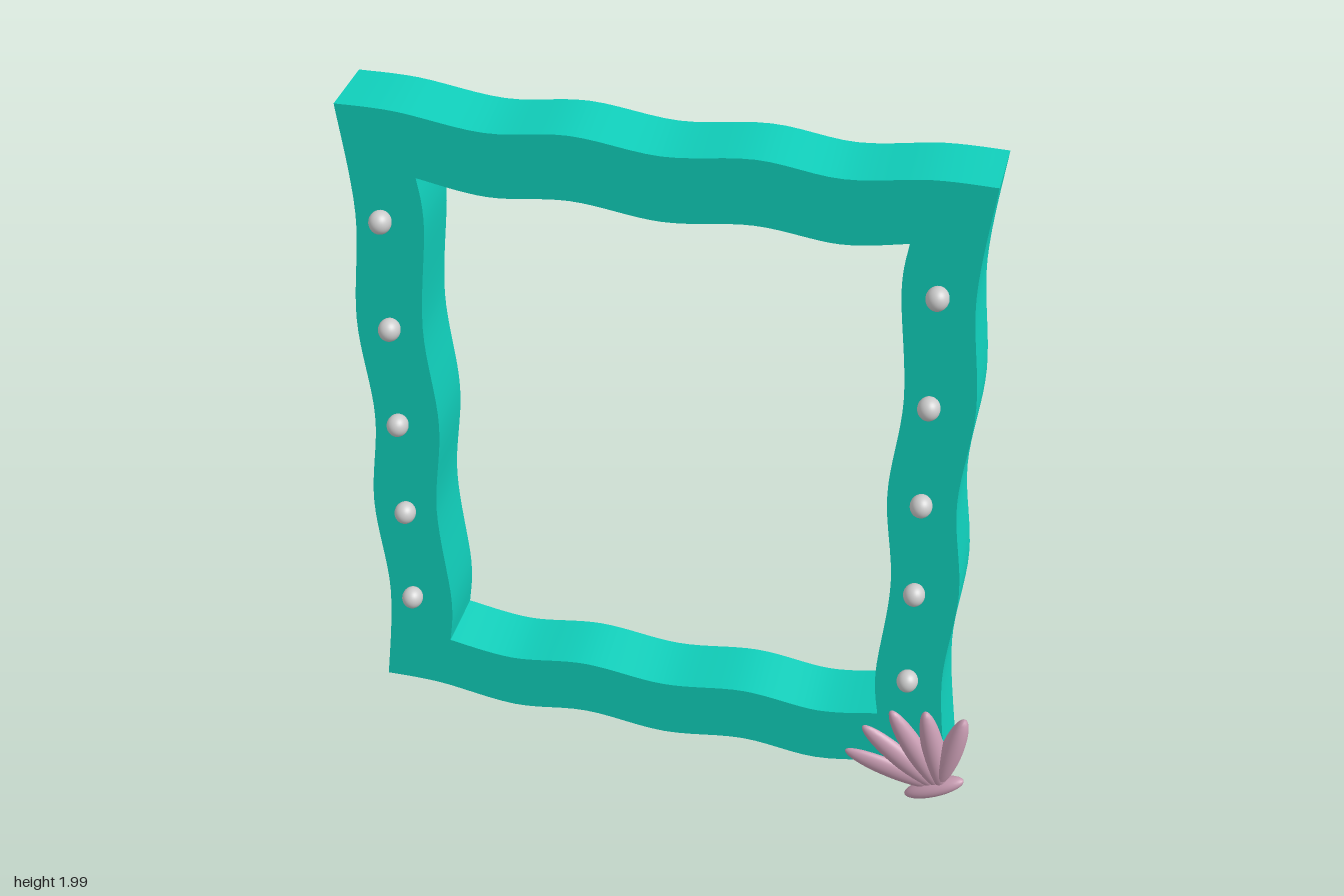
import * as THREE from 'three';
import { toCreasedNormals } from 'three/addons/utils/BufferGeometryUtils.js';

const CENTER_X = -0.03;
const mirrorX = ([x, y]) => [2 * CENTER_X - x, y];

// Smooth wavy edge through a few points, as a list of Vector2
function wave(points) {
  return new THREE.SplineCurve(points.map(([x, y]) => new THREE.Vector2(x, y))).getPoints(48);
}

// Closed outline from four edges; shared corner points are dropped
function outline(...edges) {
  return edges.flatMap((e) => wave(e).slice(0, -1));
}

function ellipsoid(name, material, radii, position, angle = 0) {
  const mesh = new THREE.Mesh(new THREE.SphereGeometry(1, 28, 20), material);
  mesh.name = name;
  mesh.scale.set(...radii);
  mesh.position.set(...position);
  mesh.rotation.z = angle;
  return mesh;
}

export function createModel() {
  const model = new THREE.Group();
  model.name = 'wavyFrame';
  const teal = new THREE.MeshStandardMaterial({ color: 0x10cfbb });
  const pink = new THREE.MeshStandardMaterial({ color: 0xc99db3 });
  const grey = new THREE.MeshStandardMaterial({ color: 0xcccccc });

  // Wavy frame: outer and inner edges, the sides mirrored
  const outerSide = [[-0.847, 2], [-0.817, 1.69], [-0.841, 1.365], [-0.815, 1.06],
    [-0.841, 0.765], [-0.817, 0.45], [-0.847, 0.127]];
  const innerSide = [[-0.648, 1.818], [-0.636, 1.68], [-0.66, 1.365], [-0.635, 1.06],
    [-0.66, 0.765], [-0.636, 0.45], [-0.648, 0.296]];
  const outerTop = [[-0.847, 2], [-0.69, 1.999], [-0.465, 1.971], [-0.25, 1.993], [-0.02, 1.969],
    [0.21, 1.993], [0.42, 1.971], [0.63, 1.999], [0.787, 2]];
  const outerBottom = [[-0.847, 0.127], [-0.69, 0.124], [-0.465, 0.09], [-0.25, 0.113], [-0.02, 0.087],
    [0.21, 0.113], [0.42, 0.09], [0.63, 0.124], [0.787, 0.127]];
  const innerTop = [[-0.648, 1.818], [-0.465, 1.791], [-0.25, 1.811], [-0.02, 1.787],
    [0.21, 1.811], [0.42, 1.791], [0.588, 1.818]];
  const innerBottom = [[-0.648, 0.296], [-0.465, 0.269], [-0.25, 0.293], [-0.02, 0.268],
    [0.21, 0.293], [0.42, 0.269], [0.588, 0.296]];
  const loop = (side, top, bottom) => outline(
    side, bottom, side.map(mirrorX).reverse(), [...top].reverse());
  const shape = new THREE.Shape(loop(outerSide, outerTop, outerBottom));
  shape.holes.push(new THREE.Path(loop(innerSide, innerTop, innerBottom)));
  const geometry = new THREE.ExtrudeGeometry(shape, { depth: 0.179, bevelEnabled: false });
  geometry.translate(0, 0, -0.117);
  const frame = new THREE.Mesh(toCreasedNormals(geometry, 0.5), teal);
  frame.name = 'frame';
  model.add(frame);

  // Pearls up both side rails
  const pearls = new THREE.Group();
  pearls.name = 'pearls';
  for (const x of [-0.742, 0.667]) {
    for (const y of [1.692, 1.367, 1.06, 0.763, 0.458]) {
      pearls.add(ellipsoid('pearl', grey, [0.029, 0.031, 0.032], [x, y, 0.088]));
    }
  }
  model.add(pearls);

  // Fan shell on the lower left corner: ribs from tip to root, then the hinge
  const shell = new THREE.Group();
  shell.name = 'shell';
  const ribs = [
    // tip x, tip y, root x, root y, half width, half depth
    [0.505, 0.14, 0.77, 0.06, 0.031, 0.02],
    [0.55, 0.243, 0.775, 0.055, 0.032, 0.024],
    [0.625, 0.317, 0.78, 0.055, 0.032, 0.028],
    [0.72, 0.335, 0.785, 0.055, 0.032, 0.031],
    [0.83, 0.328, 0.77, 0.07, 0.031, 0.033],
  ];
  for (const [tx, ty, rx, ry, width, depth] of ribs) {
    const half = Math.hypot(tx - rx, ty - ry) / 2;
    shell.add(ellipsoid('shellRib', pink, [half, width, depth],
      [(tx + rx) / 2, (ty + ry) / 2, 0.064], Math.atan2(ty - ry, tx - rx)));
  }
  shell.add(ellipsoid('shellHinge', pink, [0.092, 0.025, 0.03], [0.762, 0.056, 0.064], 0.5));
  model.add(shell);

  return model;
}
